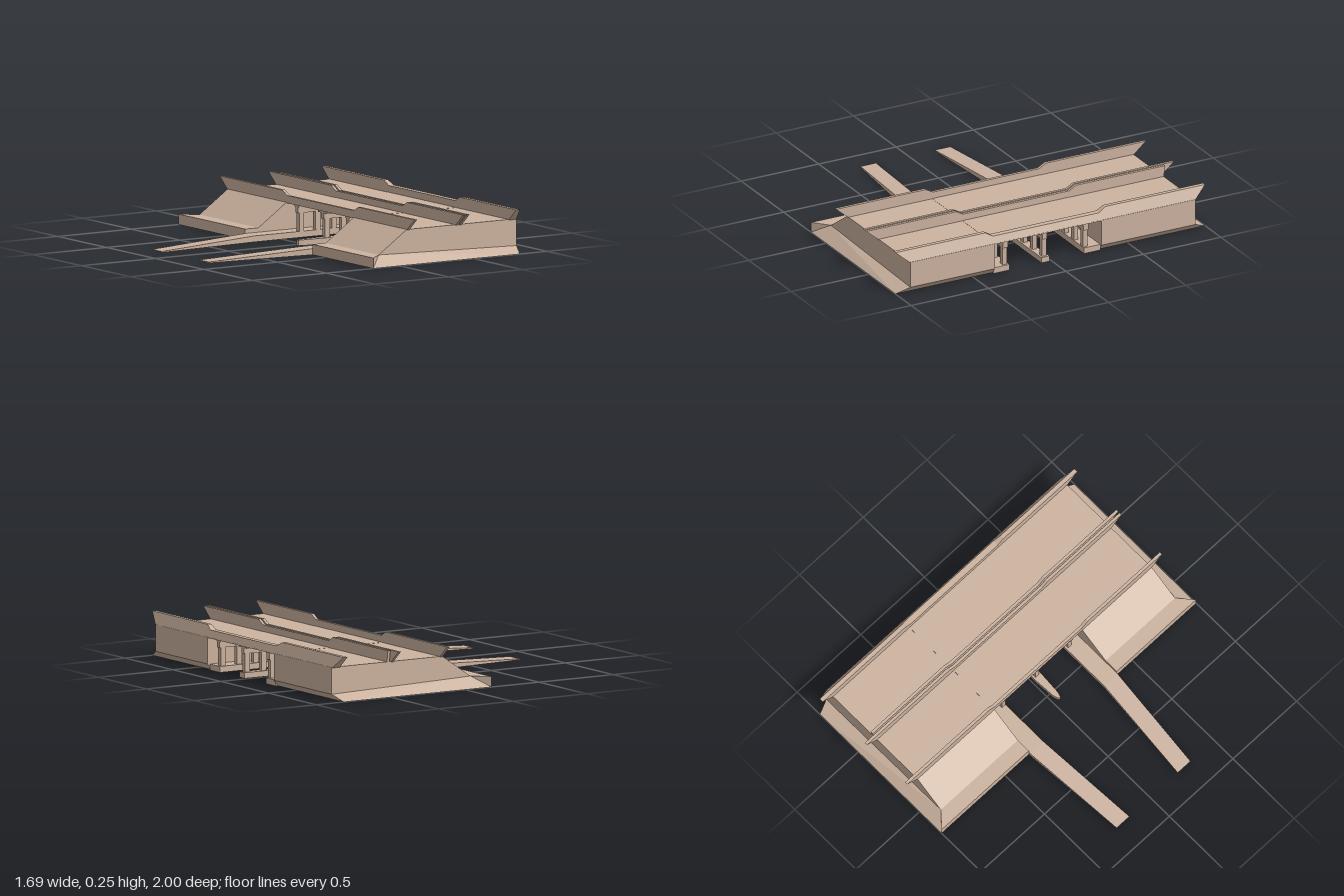
import * as THREE from 'three';

const material = new THREE.MeshStandardMaterial({ color: 0xccb3a0, flatShading: true, side: THREE.DoubleSide });

function fromTriangles(points) {
  const g = new THREE.BufferGeometry();
  g.setAttribute('position', new THREE.Float32BufferAttribute(points.flat(), 3));
  g.computeVertexNormals();
  return g;
}

// Solid through rectangular sections [x, zMin, zMax, yMin, yMax] ordered along +x
function loftX(sections) {
  const rings = sections.map(([x, z0, z1, y0, y1]) => [[x, y0, z0], [x, y1, z0], [x, y1, z1], [x, y0, z1]]);
  const tris = [];
  for (let i = 0; i < rings.length - 1; i++) {
    const a = rings[i], b = rings[i + 1];
    for (let k = 0; k < 4; k++) {
      const n = (k + 1) % 4;
      tris.push(a[k], a[n], b[n], a[k], b[n], b[k]);
    }
  }
  const f = rings[0], l = rings[rings.length - 1];
  tris.push(f[0], f[2], f[1], f[0], f[3], f[2], l[0], l[1], l[2], l[0], l[2], l[3]);
  return fromTriangles(tris);
}

// Embankment block: side profile, with the far end splayed out at the ground
function abutmentGeometry(inner, side) {
  const profile = [
    [-0.18, 0, 1], [-0.18, 0.06, 1], [-0.09, 0.06, 0.92], [0.1, 0.19, 0.92],
    [0.845, 0.19, 0.92], [0.845, 0.036, 0.92], [0.815, 0, 1],
  ];
  const a = profile.map(([x, y]) => [x, y, inner]);
  const b = profile.map(([x, y, z]) => [x, y, z * side]);
  const tris = [];
  const tri = (p, q, r) => (side > 0 ? tris.push(p, q, r) : tris.push(p, r, q));
  const n = profile.length;
  for (let i = 0; i < n; i++) {
    const j = (i + 1) % n;
    tri(a[i], b[i], b[j]);
    tri(a[i], b[j], a[j]);
  }
  // End caps fan out from the inside corner at the foot of the ramp
  for (let k = 3; k < n + 1; k++) {
    const i = k % n, j = (k + 1) % n;
    tri(a[2], a[i], a[j]);
    tri(b[2], b[j], b[i]);
  }
  return fromTriangles(tris);
}

// Parapet outline along z, lower across the span and flared at the ends
function parapetGeometry(x, width, rearEnd = -1) {
  const outline = [
    [1, 0.255], [0.42, 0.255], [0.375, 0.23], [-0.31, 0.23],
    [-0.355, 0.255], [rearEnd, 0.255], [-0.92, 0.186], [0.92, 0.186],
  ];
  const shape = new THREE.Shape(outline.map(([z, y]) => new THREE.Vector2(-z, y)));
  const g = new THREE.ExtrudeGeometry(shape, { depth: width, bevelEnabled: false });
  return g.rotateY(Math.PI / 2).translate(x, 0, 0);
}

export function createModel() {
  const group = new THREE.Group();
  const add = (name, geometry) => {
    const mesh = new THREE.Mesh(geometry, material);
    mesh.name = name;
    group.add(mesh);
    return mesh;
  };

  add('frontAbutment', abutmentGeometry(0.375, 1));
  add('rearAbutment', abutmentGeometry(-0.315, -1));
  add('spanDeck', loftX([[0.1, -0.32, 0.38, 0.186, 0.191], [0.843, -0.32, 0.38, 0.186, 0.191]]));

  // Parapets
  add('innerParapet', parapetGeometry(0.1, 0.018));
  add('medianParapetInner', parapetGeometry(0.43, 0.017));
  add('medianParapetOuter', parapetGeometry(0.456, 0.017, -0.93));
  const outer = parapetGeometry(0.79, 0.025);
  const p = outer.attributes.position;
  for (let i = 0; i < p.count; i++) {
    // Outer face leans out towards the deck edge
    if (p.getX(i) > 0.8) p.setX(i, 0.815 + (0.255 - p.getY(i)) * 0.43);
  }
  outer.computeVertexNormals();
  add('outerParapet', outer);

  // Footways that run under the span and slope down away from it
  add('frontFootway', loftX([[-0.845, 0.215, 0.315, 0, 0.006], [-0.19, 0.27, 0.375, 0, 0.035], [0.83, 0.27, 0.375, 0, 0.035]]));
  add('rearFootway', loftX([[-0.845, -0.265, -0.165, 0, 0.006], [-0.19, -0.315, -0.21, 0, 0.035], [0.83, -0.315, -0.21, 0, 0.035]]));

  // Middle pier footing with a tapered nose
  add('middleFooting', loftX([
    [-0.06, 0.032, 0.048, 0, 0.033], [-0.03, 0.022, 0.056, 0, 0.033],
    [0.1, 0.014, 0.065, 0, 0.033], [0.83, 0.014, 0.065, 0, 0.033],
  ]));

  // Column rows with beam and cap
  const rows = [
    { name: 'front', z: 0.295, beam: 0.03, cap: 0.042 },
    { name: 'middle', z: 0.04, beam: 0.03, cap: 0.088 },
    { name: 'rear', z: -0.225, beam: 0.03, cap: 0.042 },
  ];
  for (const { name, z, beam, cap } of rows) {
    const bar = (w, y0, y1) => loftX([0.11, 0.825].map((x) => [x, z - w / 2, z + w / 2, y0, y1]));
    add(name + 'PierBeam', bar(beam, 0.14, 0.174));
    add(name + 'PierCap', bar(cap, 0.174, 0.188));
    for (let i = 0; i < 7; i++) {
      const column = add(name + 'Column', new THREE.BoxGeometry(0.032, 0.12, 0.027));
      column.position.set(0.135 + i * 0.111, 0.086, z);
    }
  }
  return group;
}
